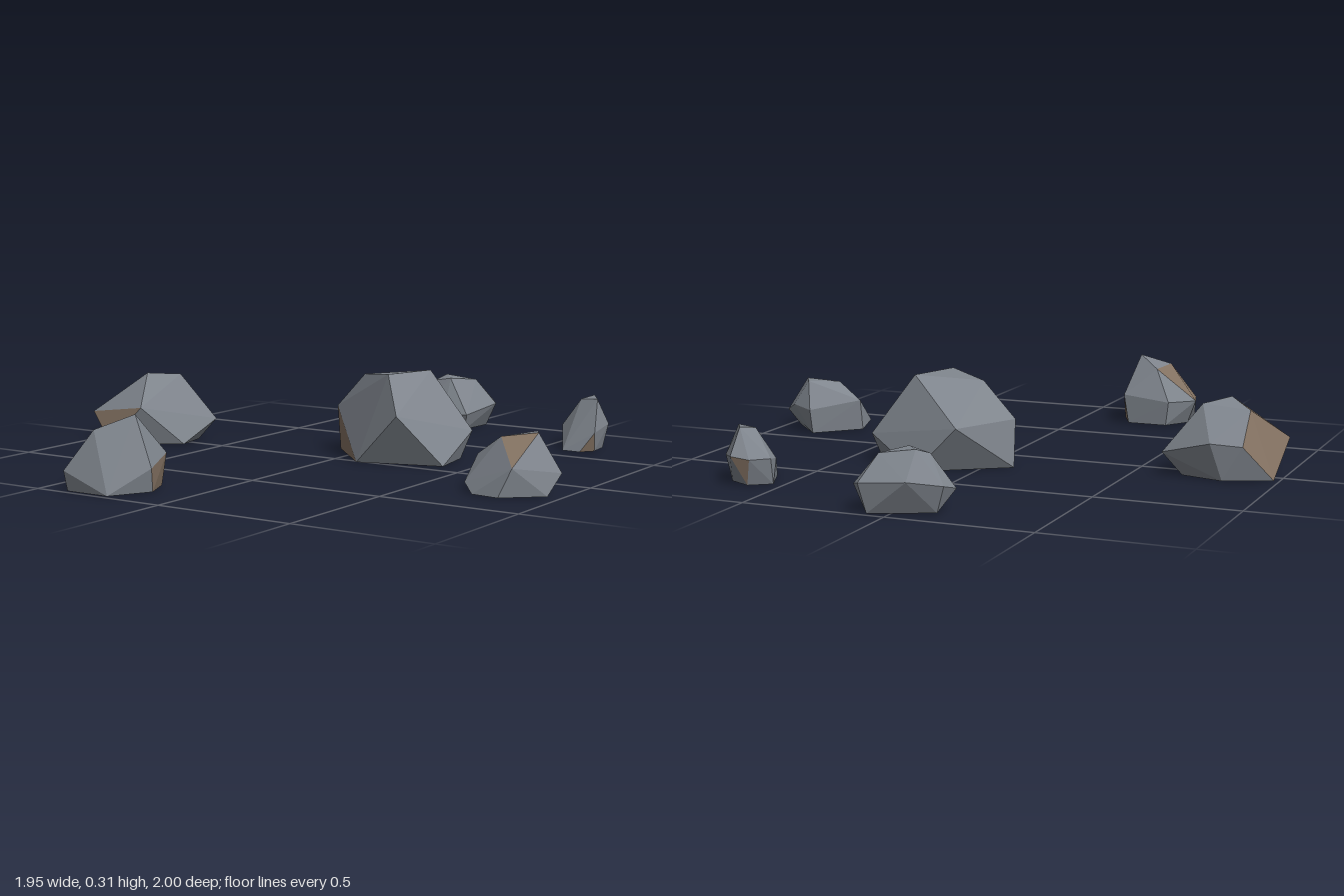
import * as THREE from 'three';
import { ConvexGeometry } from 'three/addons/geometries/ConvexGeometry.js';

const grey = new THREE.MeshStandardMaterial({ color: 0x7f858d });
grey.name = 'stone grey';
const brown = new THREE.MeshStandardMaterial({ color: 0x857363 });
brown.name = 'earth brown';

// Each rock: corner points, and sets of corners that bound an earthy facet.
const rocks = {
  largeCentreRock: {
    points: [
      [0.19, 0.31, -0.05], [0.25, 0.31, -0.24], [0.03, 0.29, -0.15], [0.28, 0.18, 0.042],
      [0.1, 0, 0.016], [0.4, 0, -0.074], [0.4, 0.1, -0.28], [-0.093, 0.165, -0.16],
      [-0.1, 0, -0.19], [0.034, 0.16, -0.382], [0.19, 0, -0.382], [0.37, 0, -0.25],
    ],
    earthy: [[4, 7, 8]],
  },
  rightSideRock: {
    points: [
      [-0.98, 0.11, 0.16], [-0.98, 0, -0.05], [-0.88, 0, 0.187], [-0.754, 0.14, 0.16],
      [-0.64, 0, 0.05], [-0.605, 0.08, -0.106], [-0.89, 0.23, -0.03], [-0.8, 0.257, 0.06],
      [-0.73, 0.246, -0.05], [-0.89, 0.12, -0.12], [-0.786, 0.13, -0.153], [-0.82, 0, -0.12],
      [-0.67, 0, -0.08],
    ],
    earthy: [[0, 2, 3], [0, 6, 7], [1, 6, 9], [0, 1, 6]],
  },
  frontRock: {
    points: [
      [-0.447, 0.09, 0.804], [-0.362, 0.09, 0.725], [-0.183, 0.11, 0.725], [-0.14, 0.08, 0.857],
      [-0.15, 0, 0.84], [-0.225, 0, 0.979], [-0.39, 0, 0.98], [-0.39, 0.07, 0.998],
      [-0.21, 0.25, 0.85], [-0.3, 0.21, 0.77], [-0.3, 0.205, 0.95], [-0.41, 0, 0.82],
      [-0.2, 0, 0.73], [-0.35, 0, 0.73],
    ],
    earthy: [[0, 7, 9, 10], [2, 3, 4, 12]],
  },
  leftSideRock: {
    points: [
      [0.68, 0.03, 0.27], [0.69, 0.115, 0.2], [0.833, 0.09, 0.065], [0.972, 0.07, 0.153],
      [0.95, 0, 0.21], [0.828, 0, 0.317], [0.727, 0, 0.305], [0.69, 0, 0.22],
      [0.78, 0.18, 0.21], [0.89, 0.195, 0.16], [0.86, 0.192, 0.11], [0.866, 0.095, 0.295],
      [0.83, 0, 0.08], [0.92, 0.1, 0.106],
    ],
    earthy: [[8, 9, 11]],
  },
  backRock: {
    points: [
      [-0.16, 0.09, -0.905], [-0.066, 0.11, -0.98], [0.09, 0.1, -1], [0.12, 0.09, -0.968],
      [0.077, 0.06, -0.81], [-0.01, 0.06, -0.785], [-0.124, 0.07, -0.785], [-0.17, 0.07, -0.83],
      [-0.066, 0.2, -0.905], [0.05, 0.185, -0.93], [-0.01, 0.195, -0.835], [-0.09, 0.18, -0.85],
      [-0.13, 0, -0.89], [0.07, 0, -0.98], [0.06, 0, -0.83], [-0.1, 0, -0.8],
    ],
    earthy: [],
  },
  smallBackRock: {
    points: [
      [0.537, 0.09, -0.75], [0.59, 0.09, -0.8], [0.654, 0.1, -0.812], [0.71, 0.09, -0.746],
      [0.71, 0.07, -0.63], [0.664, 0, -0.603], [0.595, 0, -0.605], [0.55, 0.08, -0.69],
      [0.62, 0.18, -0.7], [0.645, 0.19, -0.76], [0.69, 0.185, -0.69], [0.54, 0, -0.73],
      [0.61, 0, -0.78], [0.69, 0, -0.74], [0.7, 0, -0.65],
    ],
    earthy: [[4, 5, 14], [1, 2, 12]],
  },
};

// Flat-faced mesh from a list of triangle corners.
function facets(name, corners, material) {
  const geometry = new THREE.BufferGeometry().setFromPoints(corners);
  geometry.computeVertexNormals();
  const mesh = new THREE.Mesh(geometry, material);
  mesh.name = name;
  return mesh;
}

// Convex stone, split into its grey and earthy facets.
function makeRock(name, { points, earthy }) {
  const corners = points.map((p) => new THREE.Vector3(...p));
  const position = new ConvexGeometry(corners).getAttribute('position');
  const stone = [];
  const earth = [];
  for (let i = 0; i < position.count; i += 3) {
    const tri = [0, 1, 2].map((k) => new THREE.Vector3().fromBufferAttribute(position, i + k));
    const ids = tri.map((v) => corners.findIndex((c) => c.distanceTo(v) < 1e-4));
    const isEarthy = earthy.some((set) => ids.every((id) => set.includes(id)));
    (isEarthy ? earth : stone).push(...tri);
  }
  const rock = new THREE.Group();
  rock.name = name;
  rock.add(facets('stoneFacets', stone, grey));
  if (earth.length) rock.add(facets('earthyFacets', earth, brown));
  return rock;
}

export function createModel() {
  const model = new THREE.Group();
  model.name = 'scatteredRocks';
  for (const [name, data] of Object.entries(rocks)) model.add(makeRock(name, data));
  return model;
}
